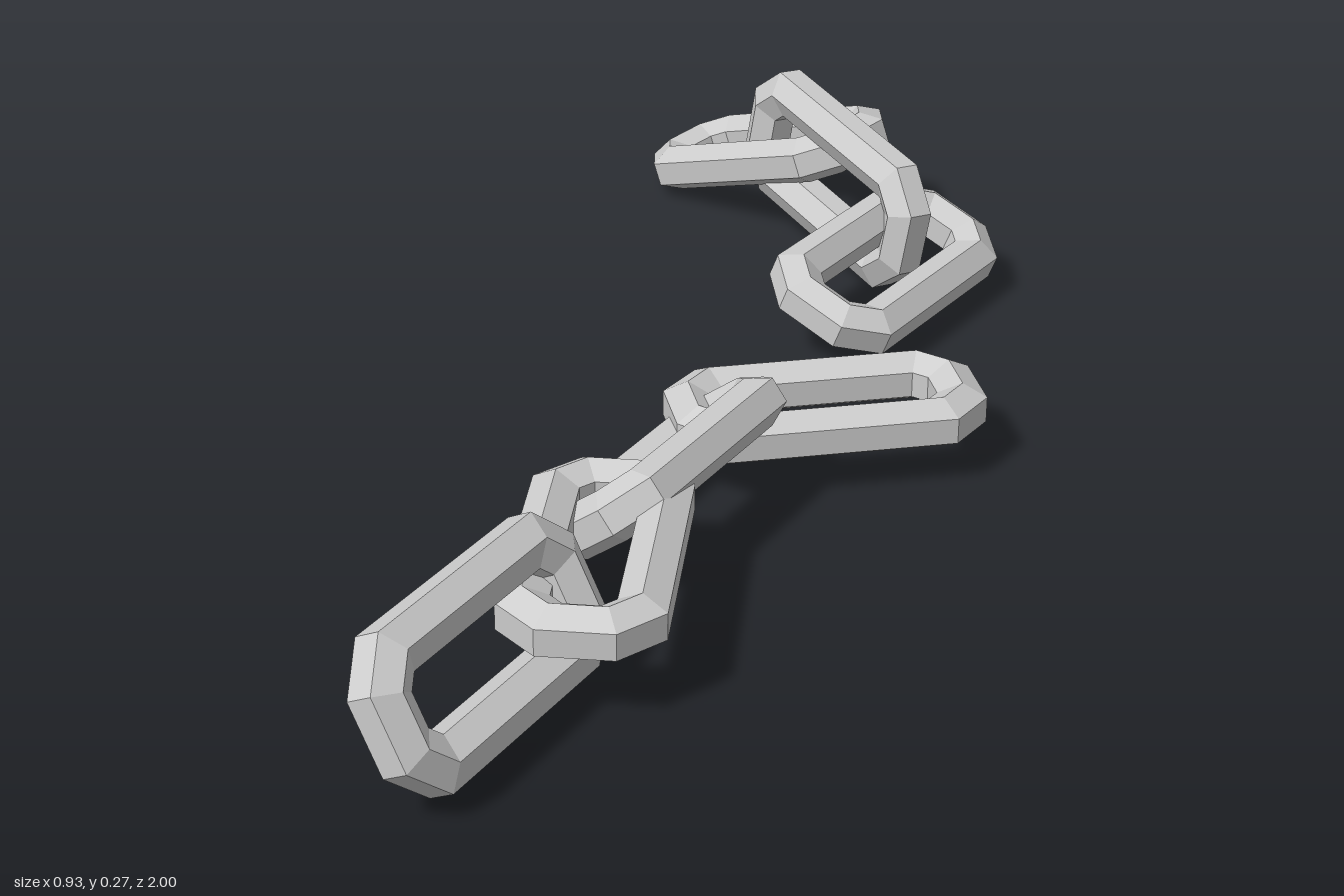
import * as THREE from 'three';

const HALF_LENGTH = 0.192; // centre line of the bar
const HALF_WIDTH = 0.076;
const CHAMFER = 0.038;
const BAR_RADIUS = 0.0385;
const SIDES = 6;

// One link: a hexagonal bar mitred round a long octagon, lying in XY
function linkGeometry() {
  const miter = Math.tan(Math.PI / 8);
  const end = [HALF_LENGTH, HALF_WIDTH - CHAMFER, 1, miter];
  const side = [HALF_LENGTH - CHAMFER, HALF_WIDTH, miter, 1];
  const corners = [];
  // counter-clockwise, quadrant by quadrant
  for (const [sx, sy] of [[1, 1], [-1, 1], [-1, -1], [1, -1]]) {
    const pair = sx * sy > 0 ? [end, side] : [side, end];
    for (const [x, y, ox, oy] of pair) corners.push([x * sx, y * sy, ox * sx, oy * sy]);
  }
  const point = (i, j) => {
    const [x, y, ox, oy] = corners[i % corners.length];
    const angle = ((j + 0.5) / SIDES) * Math.PI * 2;
    const out = BAR_RADIUS * Math.cos(angle);
    return [x + ox * out, y + oy * out, BAR_RADIUS * Math.sin(angle)];
  };
  const positions = [];
  for (let i = 0; i < corners.length; i++) {
    for (let j = 0; j < SIDES; j++) {
      const a = point(i, j), b = point(i + 1, j), c = point(i + 1, j + 1), d = point(i, j + 1);
      positions.push(...a, ...b, ...c, ...a, ...c, ...d);
    }
  }
  const geometry = new THREE.BufferGeometry();
  geometry.setAttribute('position', new THREE.Float32BufferAttribute(positions, 3));
  geometry.computeVertexNormals();
  return geometry;
}

// Each link: centre, long direction, width direction
const LINKS = [
  // longer run of four links
  { name: 'frontEndLink', at: [0.237, 0.133, 0.775], long: [0, 0, 1], wide: [0.46, -0.89, 0] },
  { name: 'frontFlatLink', at: [0.232, 0.128, 0.492], long: [0.406, 0, 0.914], wide: [0.914, 0, -0.406] },
  { name: 'middleTiltedLink', at: [0.17, 0.111, 0.213], long: [0, 0, 1], wide: [0.79, 0.61, 0] },
  { name: 'middleFlatLink', at: [0.26, 0.094, -0.087], long: [0.755, 0, -0.656], wide: [0.656, 0, 0.755] },
  // separate run of three links
  { name: 'rearLowLink', at: [0.119, 0.093, -0.56], long: [0.06, 0, -1], wide: [0.93, -0.37, 0.06] },
  { name: 'rearUprightLink', at: [-0.058, 0.142, -0.729], long: [0.88, -0.147, 0.47], wide: [0.16, 0.98, 0] },
  { name: 'rearEndLink', at: [-0.246, 0.11, -0.85], long: [0.914, 0.33, 0.238], wide: [-0.224, -0.08, 0.97] },
];

export function createModel() {
  const chain = new THREE.Group();
  chain.name = 'brokenChain';
  const geometry = linkGeometry();
  const material = new THREE.MeshStandardMaterial({ color: 0xcccccc, flatShading: true });

  for (const { name, at, long, wide } of LINKS) {
    const x = new THREE.Vector3(...long).normalize();
    const z = x.clone().cross(new THREE.Vector3(...wide)).normalize();
    const y = z.clone().cross(x);
    const link = new THREE.Mesh(geometry, material);
    link.name = name;
    link.quaternion.setFromRotationMatrix(new THREE.Matrix4().makeBasis(x, y, z));
    link.position.set(...at);
    chain.add(link);
  }
  return chain;
}
